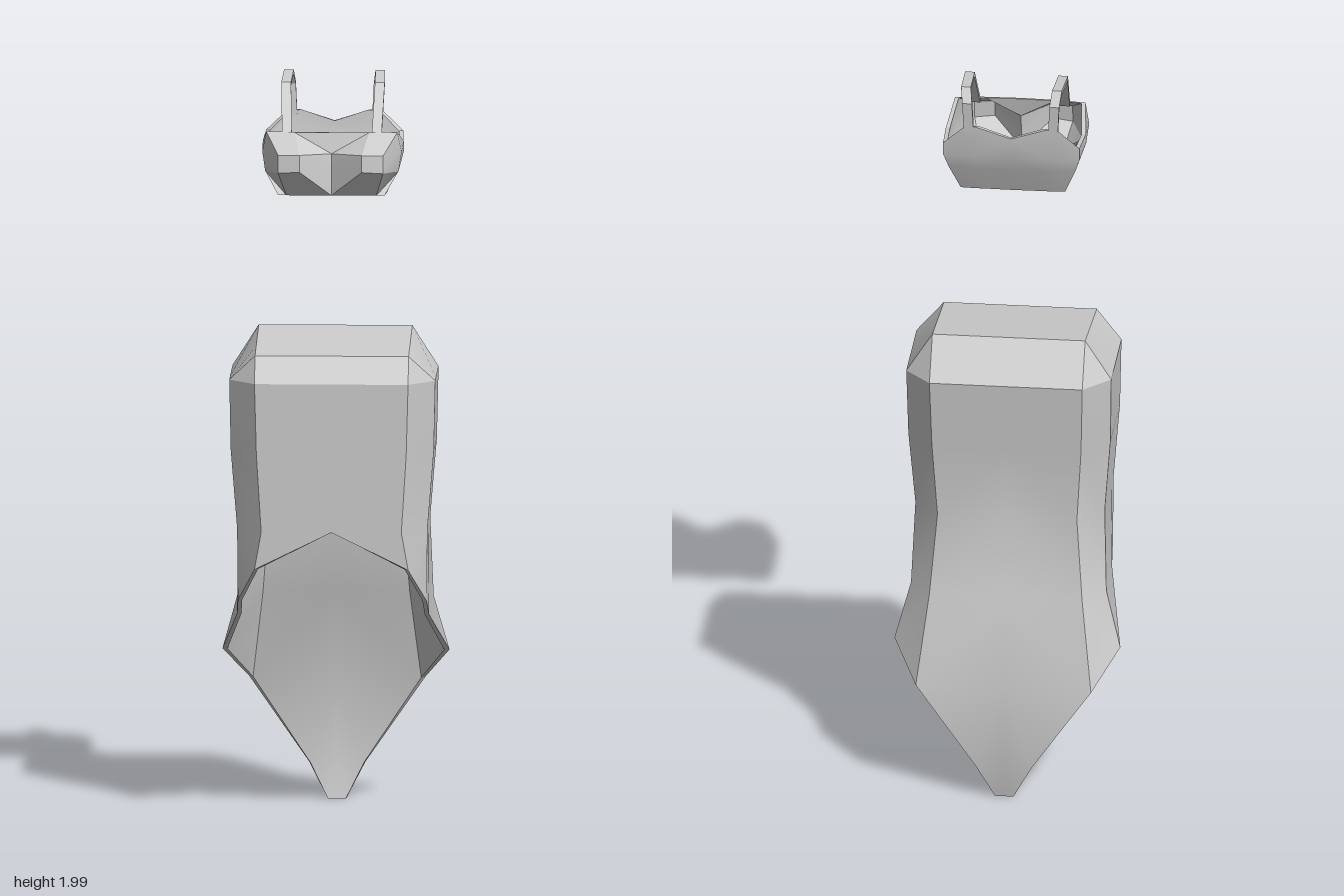
import * as THREE from 'three';
import { toCreasedNormals } from 'three/addons/utils/BufferGeometryUtils.js';

const material = new THREE.MeshStandardMaterial({ color: 0xcccccc, side: THREE.DoubleSide });
const key = (p) => p.map((v) => v.toFixed(4)).join();

// Triangles between neighbouring columns of points, skipping collapsed ones
function gridTriangles(columns) {
  const tris = [];
  for (let i = 0; i + 1 < columns.length; i++) {
    for (let r = 0; r + 1 < columns[i].length; r++) {
      const a = columns[i][r], b = columns[i + 1][r], c = columns[i + 1][r + 1], d = columns[i][r + 1];
      for (const t of [[a, d, b], [b, d, c]]) if (new Set(t.map(key)).size === 3) tris.push(t);
    }
  }
  return tris;
}

// Adds the other half, with the corner order reversed
function mirrored(tris) {
  return tris.concat(tris.map((t) => t.map(([x, y, z]) => [-x, y, z]).reverse()));
}

function meshFrom(tris, name, crease = 0.4) {
  const geometry = new THREE.BufferGeometry();
  geometry.setAttribute('position', new THREE.Float32BufferAttribute(tris.flat(2), 3));
  const mesh = new THREE.Mesh(toCreasedNormals(geometry, crease), material);
  mesh.name = name;
  return mesh;
}

// Gives a surface an inner lining and closes its open edges
function thicken(tris, inner) {
  const out = [...tris];
  const edges = new Map();
  for (const [a, b, c] of tris) {
    out.push([inner(c), inner(b), inner(a)]);
    for (const [p, q] of [[a, b], [b, c], [c, a]]) edges.set(key(p) + '|' + key(q), [p, q]);
  }
  for (const [p, q] of edges.values()) {
    if (edges.has(key(q) + '|' + key(p))) continue;
    out.push([q, p, inner(p)], [q, inner(p), inner(q)]);
  }
  return out;
}

// Square-section band along a path
function bandTriangles(path, width, thickness) {
  const rings = path.map(([x, y, z], i) => {
    const p = path[Math.max(i - 1, 0)], q = path[Math.min(i + 1, path.length - 1)];
    const dy = q[1] - p[1], dz = q[2] - p[2], l = Math.hypot(dy, dz);
    const ny = (-dz / l) * thickness / 2, nz = (dy / l) * thickness / 2, w = width / 2;
    return [[x - w, y + ny, z + nz], [x + w, y + ny, z + nz], [x + w, y - ny, z - nz],
      [x - w, y - ny, z - nz], [x - w, y + ny, z + nz]];
  });
  return gridTriangles(rings);
}

function createSkirt() {
  // Columns run from front centre round the left side to back centre, top to hem
  const frontCentre = [[0, 1.26, 0.165], [0, 1.19, 0.208], [0, 1.0, 0.208], [0, 0.79, 0.208], [0, 0.79, 0.208]];
  const frontCorner = [[0.205, 1.26, 0.165], [0.205, 1.19, 0.208], [0.2, 1.0, 0.208], [0.187, 0.79, 0.208], [0.205, 0.69, 0.208]];
  const sideFront = [[0.205, 1.26, 0.165], [0.275, 1.19, 0.13], [0.271, 1.0, 0.13], [0.254, 0.79, 0.13], [0.252, 0.595, 0.13]];
  const sideMiddle = [[0.205, 1.273, 0.07], [0.275, 1.19, 0.07], [0.271, 1.0, 0.07], [0.254, 0.79, 0.07], [0.256, 0.55, 0.07]];
  const sideBack = [[0.205, 1.3, -0.128], [0.275, 1.19, -0.128], [0.271, 1.0, -0.113], [0.254, 0.79, -0.095], [0.262, 0.57, -0.13], [0.303, 0.42, -0.162]];
  const backCorner = [[0.205, 1.3, -0.128], [0.205, 1.19, -0.203], [0.2, 1.0, -0.186], [0.187, 0.79, -0.168], [0.205, 0.57, -0.205], [0.235, 0.33, -0.265]];
  const backCentre = backCorner.map(([, y, z]) => [0, y, z]);
  const columns = [frontCentre, frontCorner, sideFront, sideMiddle, sideBack, backCorner, backCentre].map((c) => {
    const full = c.length < 6 ? [...c, c[4]] : c;
    return [[0, full[0][1], full[0][2]], ...full];
  });
  // Pointed tail below the back panel
  const tailEdge = [[0.235, 0.33, -0.265], [0.075, 0.1, -0.263], [0.025, 0.005, -0.243]];
  const tail = [tailEdge, tailEdge.map(([, y, z]) => [0, y, z])];
  const tris = mirrored([...gridTriangles(columns), ...gridTriangles(tail)]);
  return meshFrom(thicken(tris, ([x, y, z]) => [x * 0.955, y > 1.22 ? y - 0.015 : y, z * 0.955]), 'skirtWithTail');
}

function createBodice() {
  const columns = [
    [[0, 1.865, 0.175], [0, 1.81, 0.188], [0, 1.765, 0.198], [0, 1.7, 0.205]], // valley between cups
    [[0.1, 1.865, 0.172], [0.083, 1.817, 0.266], [0.083, 1.772, 0.27], [0.08, 1.7, 0.205]], // cup
    [[0.14, 1.865, 0.168], [0.14, 1.815, 0.258], [0.14, 1.768, 0.262], [0.12, 1.7, 0.205]],
    [[0.175, 1.865, 0.163], [0.186, 1.81, 0.152], [0.178, 1.76, 0.165], [0.142, 1.7, 0.205]], // side
    [[0.188, 1.825, 0.05], [0.189, 1.8, 0.05], [0.176, 1.76, 0.06], [0.145, 1.692, 0.09]],
    [[0.183, 1.835, -0.066], [0.183, 1.8, -0.063], [0.17, 1.76, -0.05], [0.14, 1.687, -0.023]], // back
    [[0.13, 1.885, -0.075], [0.13, 1.8, -0.068], [0.125, 1.76, -0.055], [0.1, 1.687, -0.025]],
    [[0.095, 1.89, -0.076], [0.095, 1.8, -0.07], [0.09, 1.76, -0.056], [0.07, 1.687, -0.025]],
    [[0, 1.86, -0.077], [0, 1.8, -0.071], [0, 1.76, -0.057], [0, 1.687, -0.026]],
  ].map((c) => [...c, [0, c[3][1], c[3][2]]]);
  const tris = mirrored(gridTriangles(columns));
  return meshFrom(thicken(tris, ([x, y, z]) => [x * 0.94, y < 1.72 ? y + 0.01 : y, 0.07 + (z - 0.07) * 0.94]), 'bodice');
}

function createStraps() {
  const path = [[0.12, 1.858, 0.163], [0.125, 1.98, 0.065], [0.122, 1.993, -0.058],
    [0.117, 1.96, -0.077], [0.113, 1.875, -0.07]];
  return meshFrom(mirrored(bandTriangles(path, 0.026, 0.012)), 'shoulderStraps', 0.3);
}

export function createModel() {
  const group = new THREE.Group();
  group.name = 'outfit';
  group.add(createSkirt(), createBodice(), createStraps());
  return group;
}
